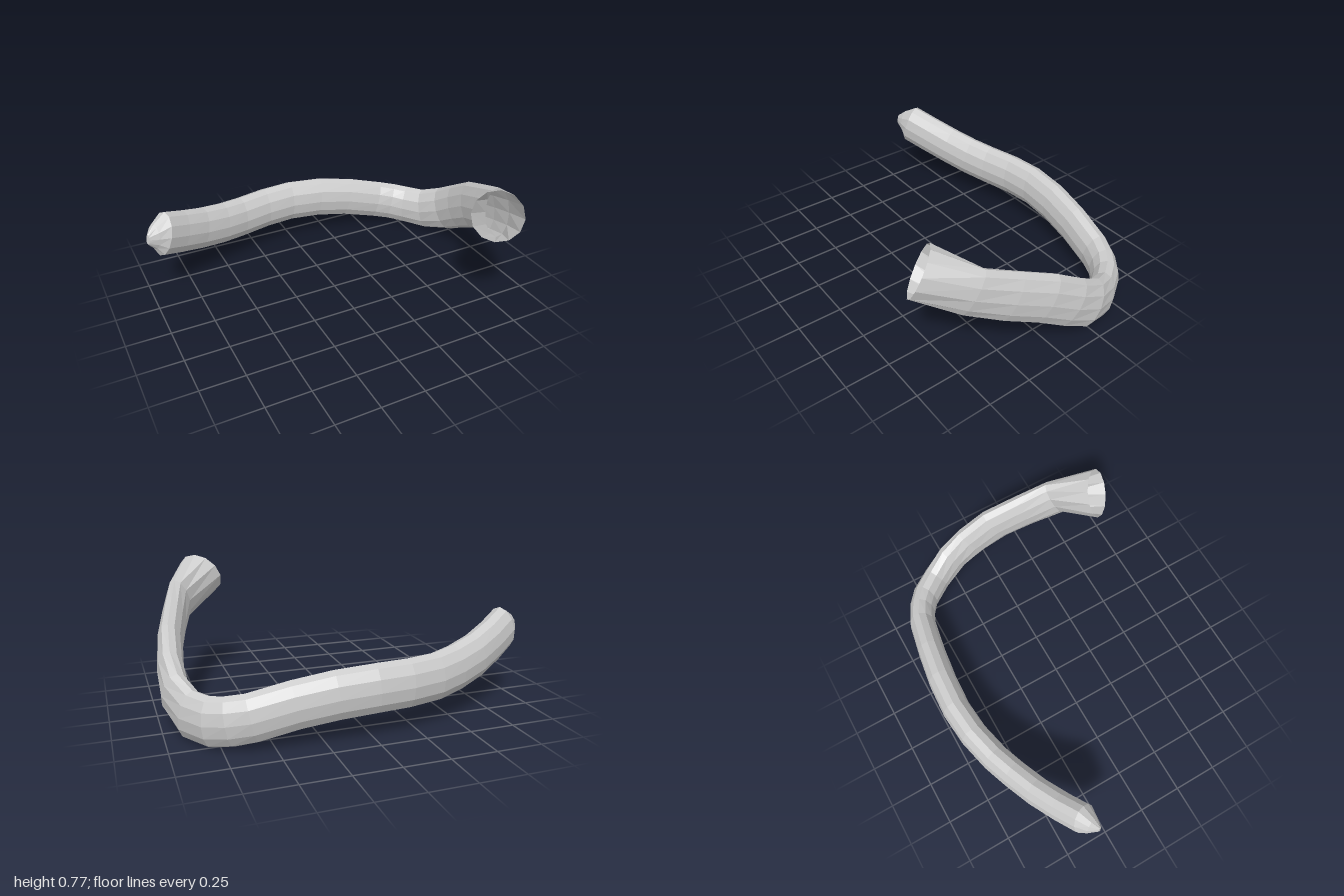
import * as THREE from 'three';

const SIDES = 12;

// Each station: centre x, y, z, half width, half height. Runs from the tip to the open mouth.
const STATIONS = [
  [-0.995, 0.435, -0.31, 0.012, 0.03],
  [-0.955, 0.43, -0.335, 0.05, 0.075],
  [-0.905, 0.425, -0.355, 0.08, 0.13],
  [-0.79, 0.375, -0.42, 0.08, 0.13],
  [-0.65, 0.325, -0.49, 0.08, 0.131],
  [-0.5, 0.29, -0.55, 0.08, 0.132],
  [-0.36, 0.273, -0.6, 0.08, 0.132],
  [-0.18, 0.272, -0.643, 0.08, 0.132],
  [0, 0.272, -0.66, 0.08, 0.132],
  [0.2, 0.258, -0.65, 0.08, 0.132],
  [0.4, 0.225, -0.625, 0.078, 0.13],
  [0.61, 0.172, -0.59, 0.077, 0.129],
  [0.71, 0.152, -0.55, 0.075, 0.13],
  [0.79, 0.138, -0.49, 0.075, 0.132],
  [0.87, 0.142, -0.37, 0.072, 0.137],
  [0.922, 0.205, -0.22, 0.072, 0.139],
  [0.922, 0.29, -0.075, 0.07, 0.14],
  [0.898, 0.385, 0.085, 0.068, 0.143],
  [0.85, 0.46, 0.265, 0.066, 0.143],
  [0.79, 0.542, 0.45, 0.066, 0.139],
  [0.63, 0.653, 0.64, 0.14, 0.137],
];

// An oval ring square to the path, with its long axis upright
function ring(i) {
  const centre = (k) => new THREE.Vector3(...STATIONS[k].slice(0, 3));
  const last = STATIONS.length - 1;
  const t = centre(Math.min(i + 1, last)).sub(centre(Math.max(i - 1, 0))).normalize();
  const side = new THREE.Vector3(0, 1, 0).cross(t).normalize();
  const up = t.clone().cross(side);
  const [, , , w, h] = STATIONS[i];
  return Array.from({ length: SIDES }, (_, j) => {
    const a = (j / SIDES) * Math.PI * 2;
    return centre(i).addScaledVector(side, w * Math.cos(a)).addScaledVector(up, h * Math.sin(a));
  });
}

// Skin between consecutive rings, with an optional cap on the first ring
function loft(name, from, to, material, capStart = false) {
  const rings = [];
  for (let i = from; i <= to; i++) rings.push(ring(i));
  const points = rings.flat();
  const index = [];
  for (let r = 0; r < rings.length - 1; r++) {
    for (let j = 0; j < SIDES; j++) {
      const a = r * SIDES + j;
      const b = r * SIDES + ((j + 1) % SIDES);
      index.push(a, b, a + SIDES, b, b + SIDES, a + SIDES);
    }
  }
  if (capStart) for (let j = 1; j < SIDES - 1; j++) index.push(0, j + 1, j);
  const geometry = new THREE.BufferGeometry().setFromPoints(points);
  geometry.setIndex(index);
  geometry.computeVertexNormals();
  const mesh = new THREE.Mesh(geometry, material);
  mesh.name = name;
  return mesh;
}

export function createModel() {
  const group = new THREE.Group();
  group.name = 'curvedTube';
  const material = new THREE.MeshStandardMaterial({
    color: 0xcccccc, flatShading: true, side: THREE.DoubleSide,
  });
  const mouth = STATIONS.length - 2;

  group.add(loft('closedTip', 0, 2, material, true));
  group.add(loft('tubeBody', 2, mouth, material));
  group.add(loft('flaredMouth', mouth, mouth + 1, material));
  return group;
}
